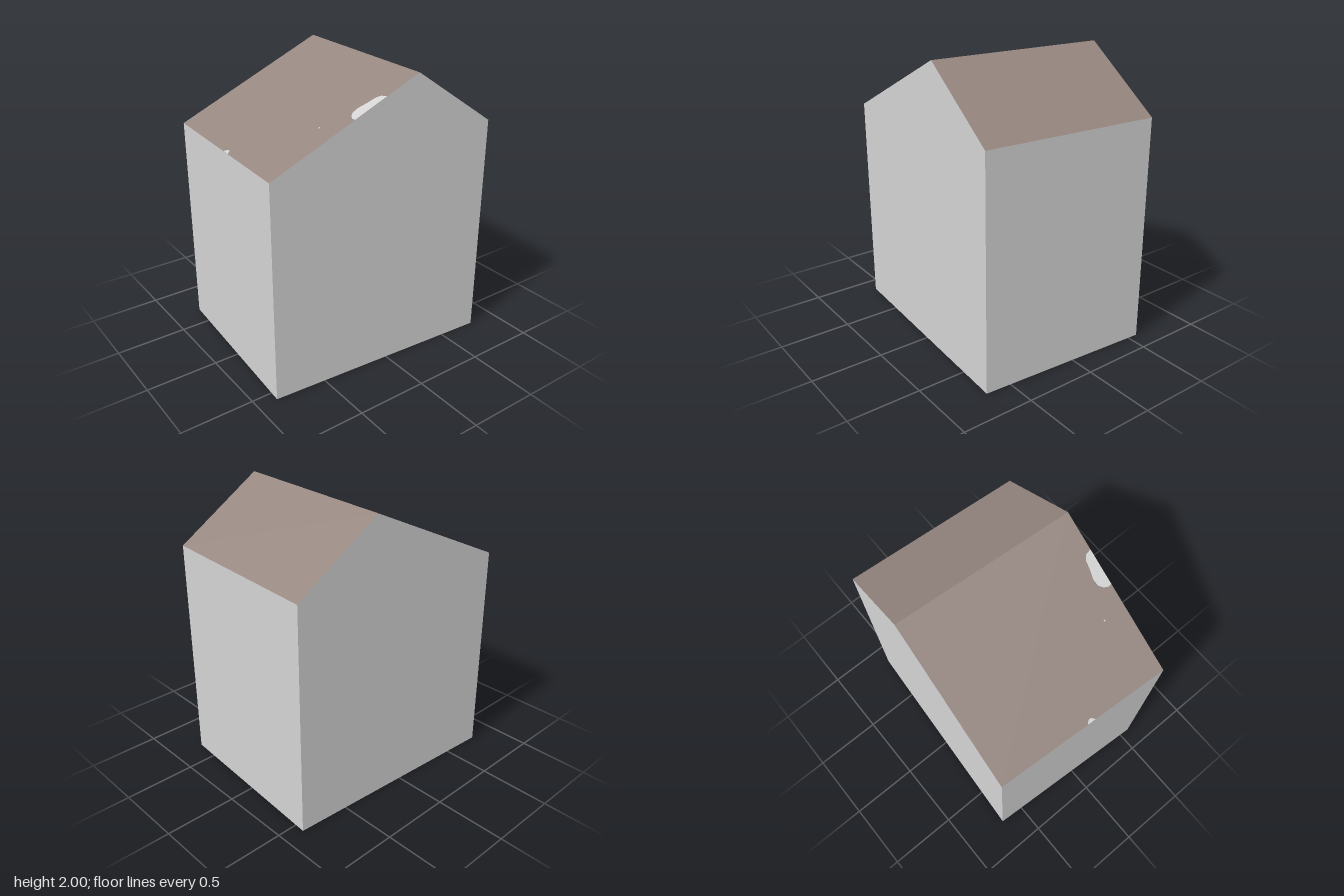
import * as THREE from 'three';

const W = 1.257, FRONT = 0.822, BACK = -0.822; // footprint
const RIDGE_Z = -0.225, RIDGE_Y = 2, FRONT_EAVE = 1.51, BACK_EAVE = 1.595;
const TURN = -0.0637; // the building stands slightly turned

// height of the front roof slope at depth z
const slopeY = z => FRONT_EAVE + (FRONT - z) * (RIDGE_Y - FRONT_EAVE) / (FRONT - RIDGE_Z);

export function createModel() {
  const wall = new THREE.MeshStandardMaterial({ color: 0xd3d3d3 });
  wall.name = 'lightGreyWall';
  const roof = new THREE.MeshStandardMaterial({ color: 0x968780 });
  roof.name = 'brownRoof';

  const house = new THREE.Group();
  house.name = 'house';
  house.rotation.y = TURN;

  // gabled body, extruded across the width
  const profile = new THREE.Shape([
    [-FRONT, 0], [-BACK, 0], [-BACK, BACK_EAVE], [-RIDGE_Z, RIDGE_Y], [-FRONT, FRONT_EAVE],
  ].map(p => new THREE.Vector2(...p)));
  const body = new THREE.ExtrudeGeometry(profile, { depth: W, bevelEnabled: false });
  body.translate(0, 0, -W / 2).rotateY(Math.PI / 2);

  // faces that look upward belong to the roof
  body.clearGroups();
  const normal = body.attributes.normal;
  for (let i = 0; i < normal.count; i += 3) body.addGroup(i, 3, normal.getY(i) > 0.3 ? 1 : 0);
  const bodyMesh = new THREE.Mesh(body, [wall, roof]);
  bodyMesh.name = 'wallsAndRoof';
  house.add(bodyMesh);

  // bare patches lying on the front roof slope, outlined in plan as (x, z)
  const addPatch = (name, outline) => {
    const shape = new THREE.Shape(outline.map(([x, z]) => new THREE.Vector2(x, -z)));
    const g = new THREE.ShapeGeometry(shape).rotateX(-Math.PI / 2);
    const pos = g.attributes.position;
    for (let i = 0; i < pos.count; i++) pos.setY(i, slopeY(pos.getZ(i)) + 0.002);
    g.computeVertexNormals();
    const mesh = new THREE.Mesh(g, wall);
    mesh.name = name;
    house.add(mesh);
  };
  addPatch('sidePatch', [
    [0.628, 0.015], [0.583, 0.027], [0.565, 0.054], [0.556, 0.111], [0.542, 0.166],
    [0.548, 0.207], [0.573, 0.234], [0.601, 0.245], [0.628, 0.243],
  ]);
  addPatch('eavePatch', [[0.025, 0.822], [0.037, 0.807], [0.05, 0.8], [0.065, 0.8], [0.085, 0.822]]);
  addPatch('smallPatch', [[0.459, 0.391], [0.466, 0.398], [0.473, 0.391], [0.466, 0.384]]);

  const model = new THREE.Group();
  model.name = 'model';
  model.add(house);
  return model;
}
